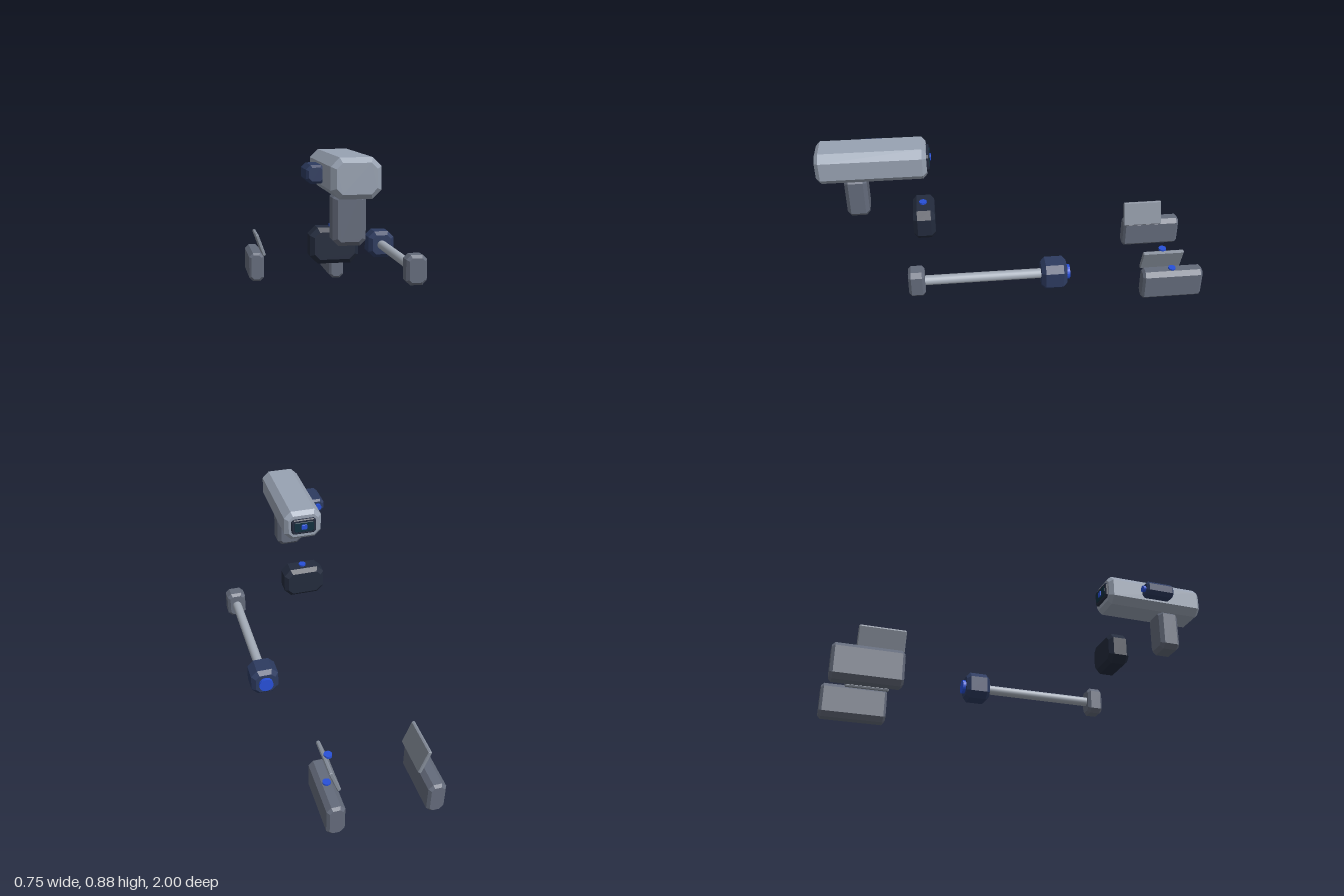
import * as THREE from 'three';

const mat = (color) => new THREE.MeshStandardMaterial({ color, flatShading: true });

// Box given by its limits: front corners cut by c, both z ends bevelled by b
function chamferBox(name, [x0, x1], [y0, y1], [z0, z1], c, b, material) {
  const w = (x1 - x0) / 2 - b, h = (y1 - y0) / 2 - b, k = c - 0.586 * b;
  const shape = new THREE.Shape([
    [w, -h + k], [w, h - k], [w - k, h], [-w + k, h],
    [-w, h - k], [-w, -h + k], [-w + k, -h], [w - k, -h],
  ].map(([x, y]) => new THREE.Vector2(x, y)));
  const depth = z1 - z0 - 2 * b;
  const geo = new THREE.ExtrudeGeometry(shape, {
    depth, bevelEnabled: true, bevelSize: b, bevelThickness: b, bevelSegments: 1,
  });
  geo.translate(0, 0, -depth / 2);
  const mesh = new THREE.Mesh(geo, material);
  mesh.name = name;
  mesh.position.set((x0 + x1) / 2, (y0 + y1) / 2, (z0 + z1) / 2);
  return mesh;
}

// Cylinder along y, or along z when alongZ is set
function disc(name, r, length, [x, y, z], material, alongZ = false, sides = 16) {
  const geo = new THREE.CylinderGeometry(r, r, length, sides);
  if (alongZ) geo.rotateX(Math.PI / 2);
  const mesh = new THREE.Mesh(geo, material);
  mesh.name = name;
  mesh.position.set(x, y, z);
  return mesh;
}

export function createModel() {
  const light = mat(0x98a2b2), grey = mat(0x646b7b), flapGrey = mat(0x858d9a);
  const dark = mat(0x232b3d), navy = mat(0x2d3b60), blue = mat(0x2850d8);
  const screenMat = mat(0x12303f), steel = mat(0xa4acb8);
  steel.flatShading = false;

  const model = new THREE.Group();
  const cx = -0.085; // centre line of the camera unit and the side boxes

  // Camera unit: body, grip, rear screen and side pod
  const camera = new THREE.Group();
  camera.name = 'cameraUnit';
  camera.add(
    chamferBox('body', [-0.19, 0.02], [0.715, 0.885], [0.448, 1], 0.037, 0.021, light),
    chamferBox('grip', [-0.157, -0.014], [0.5, 0.73], [0.757, 0.871], 0.025, 0.019, grey),
    chamferBox('rearPanel', [cx - 0.07, cx + 0.07], [0.757, 0.845], [0.434, 0.46], 0.012, 0.005, dark),
    chamferBox('screen', [cx - 0.055, cx + 0.055], [0.772, 0.83], [0.431, 0.445], 0.006, 0.002, screenMat),
    chamferBox('screenButton', [cx - 0.016, cx + 0.016], [0.787, 0.817], [0.425, 0.44], 0.004, 0.002, blue),
    chamferBox('sidePod', [-0.26, -0.175], [0.76, 0.84], [0.64, 0.8], 0.02, 0.011, navy),
    disc('podButton', 0.018, 0.03, [-0.222, 0.8, 0.64], blue, true),
  );

  // Battery pack standing behind the grip
  const battery = new THREE.Group();
  battery.name = 'batteryPack';
  battery.add(
    chamferBox('batteryCase', [-0.2, 0.03], [0.355, 0.525], [0.424, 0.538], 0.037, 0.021, dark),
    disc('batteryButton', 0.02, 0.02, [cx, 0.525, 0.483], blue),
  );

  // Rod with a block at each end
  const rodGroup = new THREE.Group();
  rodGroup.name = 'rodUnit';
  const rx = 0.305, ry = 0.313;
  rodGroup.add(
    disc('rod', 0.025, 0.64, [rx, ry, 0.2], steel, true, 20),
    chamferBox('frontBlock', [0.254, 0.356], [0.24, 0.386], [0.488, 0.571], 0.022, 0.014, grey),
    chamferBox('rearBlock', [0.234, 0.376], [0.24, 0.386], [-0.228, -0.098], 0.032, 0.02, navy),
    disc('rearLens', 0.037, 0.03, [rx, ry, -0.23], blue, true, 20),
  );
  model.add(camera, battery, rodGroup);

  // Pair of boxes with flaps leaning outwards at the top
  for (const side of [-1, 1]) {
    const box = new THREE.Group();
    box.name = side < 0 ? 'rightBox' : 'leftBox';
    const bx = cx + side * 0.248;
    const flap = chamferBox('flap', [-0.01, 0.01], [-0.07, 0.07], [-0.888, -0.668], 0.006, 0.004, flapGrey);
    flap.position.x = cx + side * 0.222;
    flap.position.y = 0.224;
    flap.rotation.z = -side * 0.34;
    box.add(
      chamferBox('case', [bx - 0.045, bx + 0.045], [0, 0.175], [-1, -0.672], 0.023, 0.013, grey),
      flap,
    );
    model.add(box);
    if (side > 0) {
      box.add(
        disc('caseButton', 0.02, 0.016, [0.162, 0.175, -0.835], blue),
        disc('flapButton', 0.02, 0.014, [0.139, 0.293, -0.775], blue),
      );
    }
  }
  return model;
}
